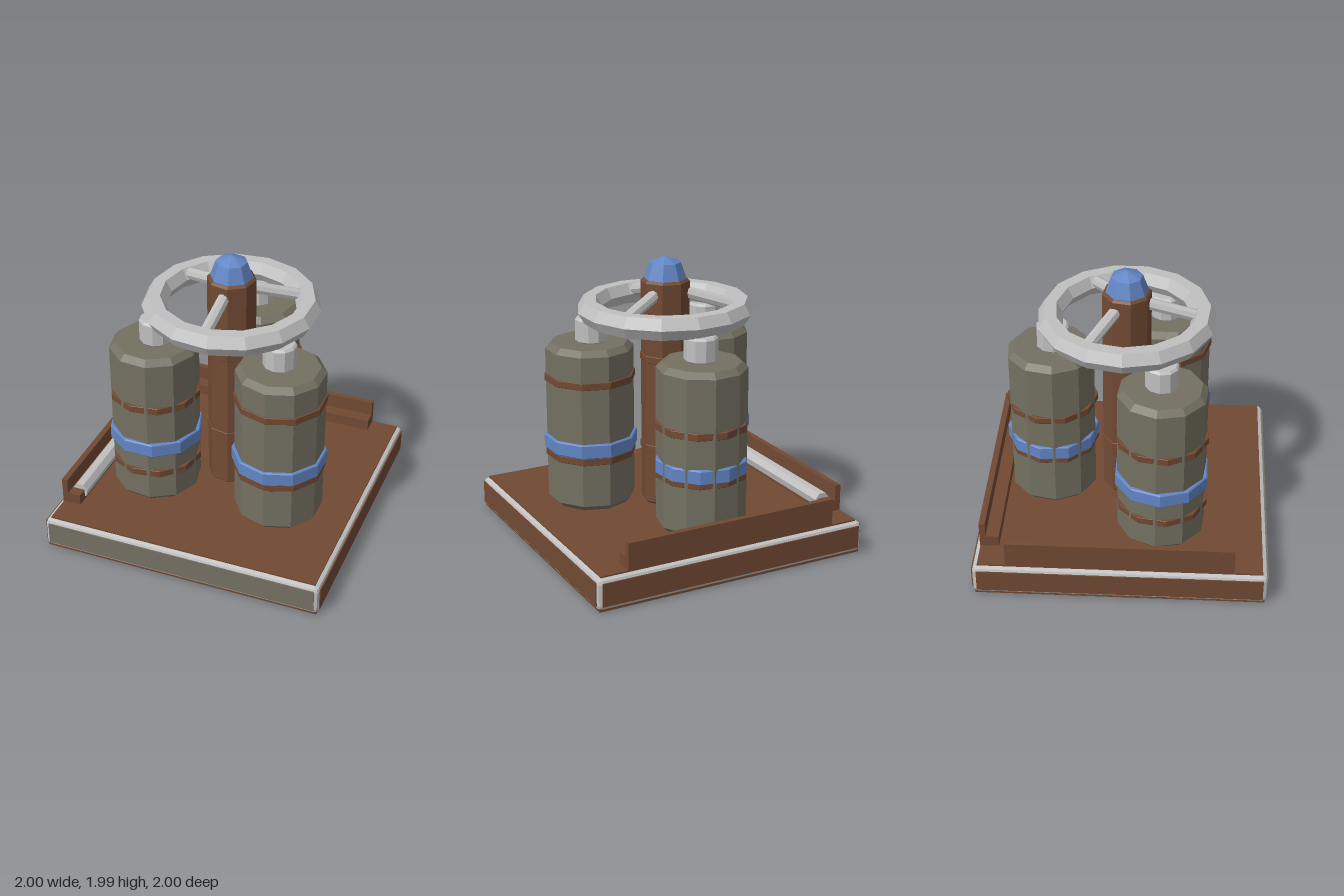
import * as THREE from 'three';
import { RoundedBoxGeometry } from 'three/addons/geometries/RoundedBoxGeometry.js';

const material = (name, color) => {
  const m = new THREE.MeshStandardMaterial({ color });
  m.name = name;
  return m;
};

export function createModel() {
  const brown = material('rust brown', 0x714a33);
  const grey = material('olive grey', 0x747062);
  const blue = material('blue', 0x6286c6);
  const silver = material('silver', 0xc0c0c0);

  const model = new THREE.Group();
  model.name = 'valveStation';

  // Facet a geometry so every face is flat
  const facet = (geometry) => {
    const g = geometry.index ? geometry.toNonIndexed() : geometry;
    g.computeVertexNormals();
    return g;
  };
  const add = (parent, name, geometry, mat, x = 0, y = 0, z = 0) => {
    const mesh = new THREE.Mesh(facet(geometry), mat);
    mesh.name = name;
    mesh.position.set(x, y, z);
    parent.add(mesh);
    return mesh;
  };
  const turned = (points, sides, rot = 0) =>
    new THREE.LatheGeometry(points.map(([r, y]) => new THREE.Vector2(r, y)), sides, rot);
  // Solid drum with chamfered rims
  const drum = (r, y0, y1, bevel, sides, rot = 0) =>
    turned([[0, y0], [r - bevel, y0], [r, y0 + bevel], [r, y1 - bevel], [r - bevel, y1], [0, y1]], sides, rot);
  const box = (parent, name, mat, [x0, x1], [y0, y1], [z0, z1]) =>
    add(parent, name, new THREE.BoxGeometry(x1 - x0, y1 - y0, z1 - z0), mat,
      (x0 + x1) / 2, (y0 + y1) / 2, (z0 + z1) / 2);

  // Base slab: chamfered silver edging with inset faces
  const base = new THREE.Group();
  base.name = 'base';
  model.add(base);
  add(base, 'baseEdging', new RoundedBoxGeometry(1.99, 0.215, 1.99, 1, 0.035), silver, 0, 0.117, 0);
  box(base, 'baseTop', brown, [-0.96, 0.96], [0.2, 0.235], [-0.96, 0.96]);
  box(base, 'baseUnderside', brown, [-0.98, 0.98], [0, 0.03], [-0.98, 0.98]);
  for (let i = 0; i < 4; i++) {
    const side = new THREE.Group();
    side.rotation.y = i * Math.PI / 2;
    side.name = 'baseSide';
    base.add(side);
    box(side, 'sidePanel', i === 0 ? grey : brown, [-0.965, 0.965], [0.04, 0.2], [0.992, 1]);
  }

  // Three tanks around the pillar; each band is [height, turn against the tank]
  const step = Math.PI / 5;
  const tanks = [
    { name: 'rightHandTank', x: 0.45, z: 0.26, rot: 0, blueR: 0.325, blueTurn: 0, hoops: [[0.605, 0.03], [1.145, 0.03]] },
    { name: 'leftHandTank', x: -0.46, z: 0.26, rot: 0.21, blueR: 0.326, blueTurn: 0.1, hoops: [[0.48, 0.25], [1.0, 0.25]] },
    { name: 'backTank', x: 0, z: -0.517, rot: 0.42, blueR: 0.318, blueTurn: 0.5 * step, hoops: [[0.625, 0.3], [0.96, 0.25]] },
  ];
  for (const t of tanks) {
    const tank = new THREE.Group();
    tank.name = t.name;
    tank.position.set(t.x, 0, t.z);
    model.add(tank);
    add(tank, 'tankBody', drum(0.305, 0.235, 1.385, 0.04, 10, t.rot), grey);
    add(tank, 'blueBand', drum(t.blueR, 0.63, 0.732, 0.008, 10, t.rot + t.blueTurn), blue);
    for (const [y, turn] of t.hoops) {
      add(tank, 'hoop', drum(0.316, y - 0.025, y + 0.025, 0.003, 10, t.rot + turn), brown);
    }
    // Outlet neck
    add(tank, 'tankNeck', drum(0.113, 1.38, 1.555, 0.015, 10, t.rot), silver, -t.x * 0.03, 0, -t.z * 0.03);
  }

  // Central pillar, its collars and pointed cap
  add(model, 'pillar', drum(0.167, 0.235, 1.83, 0.016, 8, 0.2), brown);
  for (const y of [0.645, 1.285]) {
    add(model, 'pillarCollar', drum(0.173, y - 0.026, y + 0.026, 0.003, 8, 0.2), brown);
  }
  add(model, 'pillarCap', turned([[0, 1.82], [0.147, 1.825], [0.107, 1.94], [0, 1.985]], 8, 0.2), blue);

  // Handwheel: faceted rim and three sloping spokes
  const wheel = new THREE.Group();
  wheel.name = 'handwheel';
  model.add(wheel);
  const rim = new THREE.TorusGeometry(0.52, 0.084, 6, 15);
  rim.rotateX(Math.PI / 2).rotateY(Math.PI);
  add(wheel, 'wheelRim', rim, silver, 0, 1.622, 0);
  const inner = new THREE.Vector3(0, 1.75, 0.08);
  const outer = new THREE.Vector3(0, 1.645, 0.48);
  for (let i = 0; i < 3; i++) {
    const arm = new THREE.Group();
    arm.name = 'spokeArm';
    arm.rotation.y = i * Math.PI * 2 / 3;
    wheel.add(arm);
    const path = new THREE.LineCurve3(inner, outer);
    add(arm, 'spoke', new THREE.TubeGeometry(path, 1, 0.042, 8), silver);
  }

  // L-section rails along the back and the -x edge
  const makeRail = (name, turn) => {
    const rail = new THREE.Group();
    rail.name = name;
    rail.rotation.y = turn;
    model.add(rail);
    box(rail, 'railWall', brown, [-0.768, 0.768], [0.23, 0.422], [-0.963, -0.922]);
    box(rail, 'railFoot', brown, [-0.768, 0.768], [0.23, 0.315], [-0.925, -0.832]);
  };
  makeRail('backRail', 0);
  makeRail('sideRail', Math.PI / 2);

  // Pipe resting on the side rail
  const pipe = new THREE.CylinderGeometry(0.057, 0.057, 1.39, 7);
  pipe.rotateX(Math.PI / 2);
  add(model, 'sidePipe', pipe, silver, -0.865, 0.298, 0);

  return model;
}
